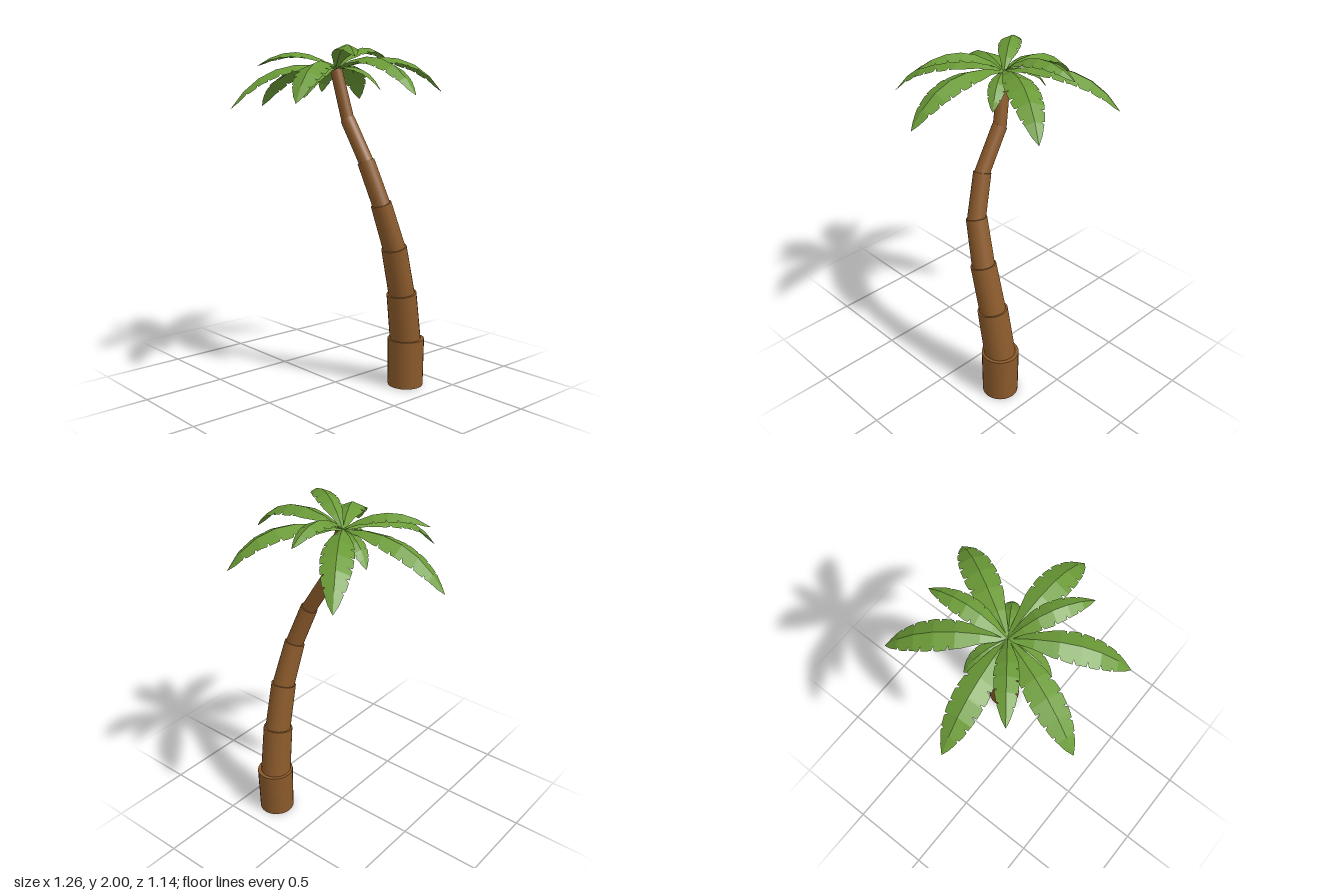
import * as THREE from 'three';

const bark = new THREE.MeshStandardMaterial({ color: 0x8b5a2b });
const green = new THREE.MeshStandardMaterial({ color: 0x6b9b37, flatShading: true, side: THREE.DoubleSide });
const CROWN = new THREE.Vector3(-0.015, 1.875, -0.015);

// Interpolate a list of [u, value] pairs
function lerpTable(table, u) {
  for (let i = 1; i < table.length; i++) {
    const [u0, a] = table[i - 1], [u1, b] = table[i];
    if (u <= u1) return a + (b - a) * (u - u0) / (u1 - u0);
  }
  return table[table.length - 1][1];
}
const WIDTH = [[0, 0.12], [0.15, 0.48], [0.3, 0.85], [0.45, 1], [0.62, 0.93], [0.78, 0.7], [0.92, 0.32], [1, 0]];

// Tapered trunk piece between two points, slightly sunk into the one below
function trunkSegment(a, b, r0, r1, sink) {
  const dir = b.clone().sub(a).normalize();
  const start = a.clone().addScaledVector(dir, -sink);
  const mesh = new THREE.Mesh(new THREE.CylinderGeometry(r1, r0, start.distanceTo(b), 24), bark);
  mesh.position.copy(start).lerp(b, 0.5);
  mesh.quaternion.setFromUnitVectors(new THREE.Vector3(0, 1, 0), dir);
  mesh.name = 'trunkSegment';
  return mesh;
}

// Folded leaf: spine on an arch, two sloping halves with thin cuts in the edges
function leaf({ tip, bend, rise, half, cuts, fold }) {
  const end = new THREE.Vector3(...tip);
  const ctrl = CROWN.clone().lerp(end, bend).setY(rise);
  const spine = new THREE.QuadraticBezierCurve3(CROWN, ctrl, end).getPoints(6);
  const at = (u) => {
    const i = Math.min(5, Math.floor(u * 6));
    return spine[i].clone().lerp(spine[i + 1], u * 6 - i);
  };
  const out = end.clone().sub(CROWN).setY(0).normalize();
  const side = new THREE.Vector3(-out.z, 0, out.x);

  const pos = [];
  for (const s of [-1, 1]) {
    // Stations along the half: spine joints, width changes and cuts [u, edge scale]
    const stations = [];
    for (let i = 0; i <= 6; i++) stations.push([i / 6, 1]);
    for (const [u] of WIDTH) stations.push([u, 1]);
    for (let k = 0; k < cuts; k++) {
      const u = 0.33 + 0.55 * (k + (s > 0 ? 0.15 : 0.5)) / cuts;
      const keep = stations.filter(([v]) => Math.abs(v - u) > 0.02);
      stations.length = 0;
      stations.push(...keep, [u - 0.012, 1], [u - 0.006, 0.74], [u + 0.012, 1]);
    }
    stations.sort((p, q) => p[0] - q[0]);
    const rows = stations.map(([u, k]) => {
      const mid = at(u), w = half * k * lerpTable(WIDTH, u);
      const edge = mid.clone().addScaledVector(side, s * w);
      edge.y -= w * fold;
      return [mid, edge];
    });
    for (let i = 1; i < rows.length; i++) {
      const [m0, e0] = rows[i - 1], [m1, e1] = rows[i];
      const tris = s > 0 ? [m0, e0, e1, m0, e1, m1] : [m0, e1, e0, m0, m1, e1];
      for (const p of tris) pos.push(p.x, p.y, p.z);
    }
  }
  const geo = new THREE.BufferGeometry();
  geo.setAttribute('position', new THREE.Float32BufferAttribute(pos, 3));
  geo.computeVertexNormals();
  // Keep the face front pointing up
  if (geo.attributes.normal.getY(0) < 0) {
    const p = geo.attributes.position.array;
    for (let i = 0; i < p.length; i += 9)
      for (let j = 0; j < 3; j++) [p[i + 3 + j], p[i + 6 + j]] = [p[i + 6 + j], p[i + 3 + j]];
    geo.computeVertexNormals();
  }
  return new THREE.Mesh(geo, green);
}

export function createModel() {
  const model = new THREE.Group();

  // Leaning trunk: joints x, y, z, then bottom and top radius of the piece above
  const trunk = new THREE.Group();
  trunk.name = 'trunk';
  const joints = [
    [0.295, 0, -0.305, 0.105, 0.109],
    [0.295, 0.287, -0.297, 0.092, 0.088],
    [0.305, 0.575, -0.25, 0.077, 0.074],
    [0.308, 0.855, -0.18, 0.066, 0.06],
    [0.28, 1.115, -0.1, 0.052, 0.05],
    [0.195, 1.355, -0.06, 0.043, 0.042],
    [0.052, 1.585, -0.05, 0.038, 0.035],
    [-0.015, 1.87, -0.02],
  ];
  for (let i = 0; i < joints.length - 1; i++) {
    const a = new THREE.Vector3(...joints[i]), b = new THREE.Vector3(...joints[i + 1]);
    trunk.add(trunkSegment(a, b, joints[i][3], joints[i][4], i ? 0.025 : 0));
  }
  // Keep the base flat on the ground
  const base = trunk.children[0];
  base.quaternion.identity();
  base.position.set(0.295, base.geometry.parameters.height / 2, -0.303);
  model.add(trunk);

  const crown = new THREE.Group();
  crown.name = 'crown';
  const addLeaves = (name, tips, style) => {
    for (const tip of tips) {
      const mesh = leaf({ tip, ...style(tip) });
      mesh.name = name;
      crown.add(mesh);
    }
  };

  // Long arching leaves
  addLeaves('longLeaf', [
    [0.627, 1.73, -0.007], [0.3, 1.74, -0.575], [-0.373, 1.69, -0.535],
    [-0.63, 1.65, 0.058], [-0.228, 1.65, 0.57], [0.303, 1.69, 0.532],
  ], (t) => ({ bend: 0.66, rise: t[1] + 0.32, half: 0.088, cuts: 5, fold: 0.4 }));

  // Raised leaves
  addLeaves('raisedLeaf', [
    [0.395, 1.93, 0.21], [-0.387, 1.89, 0.27], [-0.065, 1.93, -0.475],
  ], (t) => ({ bend: 0.5, rise: t[1] + 0.165, half: 0.064, cuts: 4, fold: 0.45 }));

  // Short drooping leaves under the crown
  addLeaves('shortLeaf', [
    [0.21, 1.75, -0.16], [-0.25, 1.74, -0.11], [0.015, 1.71, 0.245],
  ], (t) => ({ bend: 0.7, rise: t[1] + 0.17, half: 0.05, cuts: 3, fold: 0.4 }));
  model.add(crown);

  return model;
}
